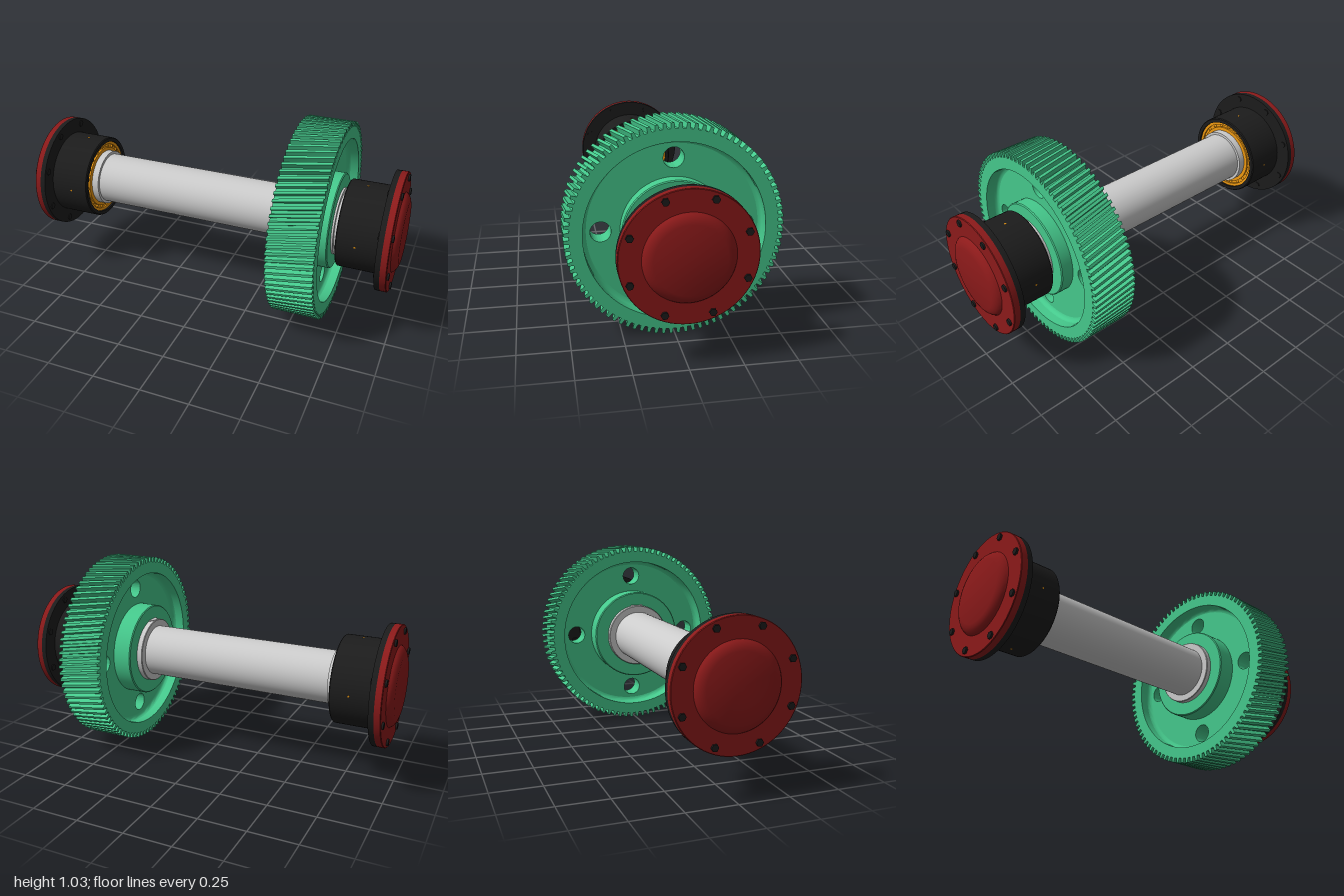
import * as THREE from 'three';
import { toCreasedNormals } from 'three/addons/utils/BufferGeometryUtils.js';

const AXIS_Y = 0.518;
const mat = (color) => new THREE.MeshStandardMaterial({ color });
const GREY = mat(0xcccccc), GREEN = mat(0x45c98c), RED = mat(0x8c1a1a),
  BLACK = mat(0x1c1c1c), ORANGE = mat(0xf09a10);

function add(parent, name, geometry, material) {
  const mesh = new THREE.Mesh(geometry, material);
  mesh.name = name;
  parent.add(mesh);
  return mesh;
}

// Solid of revolution about x; profile is [radius, x] listed towards +x on the outside
function turned(parent, name, profile, material, segments = 72) {
  const g = new THREE.LatheGeometry(profile.map(([r, x]) => new THREE.Vector2(r, x)), segments);
  g.rotateZ(-Math.PI / 2);
  return add(parent, name, toCreasedNormals(g, 0.5), material);
}

// Extrude a shape along +x, from x0 to x1
function extrudeX(shape, x0, x1, steps = 1, curveSegments = 48) {
  const g = new THREE.ExtrudeGeometry(shape, { depth: x1 - x0, steps, curveSegments, bevelEnabled: false });
  g.rotateY(Math.PI / 2);
  g.translate(x0, 0, 0);
  return g;
}

function circleHole(x, y, r) {
  return new THREE.Path().absarc(x, y, r, 0, Math.PI * 2, true);
}

function buildGear() {
  const gear = new THREE.Group();
  gear.name = 'helicalGear';
  const teeth = 88, tip = 0.515, root = 0.489, x0 = 0.43, x1 = 0.665;

  // Toothed rim, twisted into a helix
  const pts = [];
  for (let i = 0; i < teeth; i++) {
    for (const [r, f] of [[root, -0.29], [tip, -0.2], [tip, 0.2], [root, 0.29]]) {
      const a = ((i + f + 0.5) / teeth) * Math.PI * 2;
      pts.push(new THREE.Vector2(r * Math.cos(a), r * Math.sin(a)));
    }
  }
  const rimShape = new THREE.Shape(pts);
  rimShape.holes.push(circleHole(0, 0, 0.428));
  const rim = extrudeX(rimShape, x0, x1, 6);
  const p = rim.attributes.position;
  for (let i = 0; i < p.count; i++) {
    const a = -0.36 * (p.getX(i) - x1), y = p.getY(i), z = p.getZ(i);
    p.setY(i, y * Math.cos(a) - z * Math.sin(a));
    p.setZ(i, y * Math.sin(a) + z * Math.cos(a));
  }
  add(gear, 'toothedRim', toCreasedNormals(rim, 0.5), GREEN);

  // Web with four lightening holes
  const webShape = new THREE.Shape().absarc(0, 0, 0.432, 0, Math.PI * 2, false);
  for (let i = 0; i < 4; i++) {
    const a = (i * Math.PI) / 2;
    webShape.holes.push(circleHole(0.34 * Math.cos(a), 0.34 * Math.sin(a), 0.049));
  }
  add(gear, 'web', toCreasedNormals(extrudeX(webShape, 0.5, 0.6), 0.5), GREEN);

  // Fillets where the rim meets the web
  turned(gear, 'rimFilletRight', [[0.408, 0.6], [0.418, 0.603], [0.425, 0.61], [0.428, 0.62]].reverse()
    .map((q) => q).reverse(), GREEN).material = FILLET;
  turned(gear, 'rimFilletLeft', [[0.428, 0.48], [0.425, 0.49], [0.418, 0.497], [0.408, 0.5]], GREEN).material = FILLET;

  turned(gear, 'hub', [[0, 0.4], [0.245, 0.4], [0.25, 0.405], [0.25, 0.66], [0.245, 0.665], [0, 0.665]], GREEN);
  return gear;
}
const FILLET = new THREE.MeshStandardMaterial({ color: 0x45c98c, side: THREE.DoubleSide });

function buildBearingUnit(name) {
  const unit = new THREE.Group();
  unit.name = name;

  // Housing with an open bore on its inner end and a bolting flange
  turned(unit, 'housing', [[0, 0.78], [0.203, 0.78], [0.203, 0.697], [0.222, 0.697], [0.227, 0.702],
    [0.227, 0.91], [0.308, 0.91], [0.308, 0.937], [0, 0.937]], BLACK);

  // Bearing: two races with rollers between them
  turned(unit, 'outerRace', [[0.187, 0.78], [0.187, 0.708], [0.203, 0.708], [0.203, 0.78]], ORANGE);
  turned(unit, 'innerRace', [[0.14, 0.708], [0.17, 0.708], [0.17, 0.78]], ORANGE);
  turned(unit, 'cage', [[0.165, 0.718], [0.19, 0.718], [0.19, 0.77]], ORANGE);
  for (let i = 0; i < 20; i++) {
    const a = (i / 20) * Math.PI * 2;
    const roller = add(unit, 'roller', new THREE.SphereGeometry(0.009, 12, 8), ORANGE);
    roller.position.set(0.717, 0.1785 * Math.cos(a), 0.1785 * Math.sin(a));
  }

  // End cap with a raised, rounded centre
  turned(unit, 'endCap', [[0, 0.937], [0.308, 0.937], [0.308, 0.967], [0.305, 0.97], [0.206, 0.97],
    [0.2, 0.979], [0.19, 0.988], [0.177, 0.995], [0.16, 1], [0, 1]], RED);

  // Hexagon bolts through the flange
  for (let i = 0; i < 8; i++) {
    const a = ((i + 0.5) * Math.PI) / 4;
    const bolt = add(unit, 'flangeBolt',
      new THREE.CylinderGeometry(0.018, 0.018, 0.075, 6).rotateZ(-Math.PI / 2).toNonIndexed(), BLACK);
    bolt.position.set(0.942, 0.277 * Math.cos(a), 0.277 * Math.sin(a));
  }

  // Lubrication ports round the housing
  for (let i = 0; i < 4; i++) {
    const port = new THREE.Group();
    port.name = 'lubricationPort';
    const plug = add(port, 'portPlug', new THREE.CylinderGeometry(0.005, 0.005, 0.004, 12), ORANGE);
    plug.position.set(0.795, 0.226, 0);
    port.rotation.x = (i * Math.PI) / 2;
    unit.add(port);
  }
  return unit;
}

export function createModel() {
  const model = new THREE.Group();
  model.name = 'gearShaftAssembly';
  const assembly = new THREE.Group();
  assembly.name = 'rotatingAssembly';
  assembly.position.y = AXIS_Y;
  model.add(assembly);

  // Stepped shaft
  turned(assembly, 'shaft', [[0, -0.93], [0.138, -0.93], [0.138, -0.705], [0.152, -0.705], [0.152, -0.667],
    [0.137, -0.667], [0.137, 0.37], [0.172, 0.37], [0.175, 0.373], [0.175, 0.675], [0.152, 0.675],
    [0.152, 0.705], [0.138, 0.705], [0.138, 0.93], [0, 0.93]], GREY);

  // Round-ended key under the hub
  const keyShape = new THREE.Shape();
  keyShape.absarc(0.408, 0, 0.035, Math.PI / 2, Math.PI * 1.5, false);
  keyShape.absarc(0.62, 0, 0.035, -Math.PI / 2, Math.PI / 2, false);
  const keyGeo = new THREE.ExtrudeGeometry(keyShape, { depth: 0.04, bevelEnabled: false, curveSegments: 16 });
  keyGeo.rotateX(-Math.PI / 2);
  add(assembly, 'key', toCreasedNormals(keyGeo, 0.5), GREY).position.y = 0.137;

  assembly.add(buildGear());
  assembly.add(buildBearingUnit('leftBearing'));
  const right = buildBearingUnit('rightBearing');
  right.rotation.y = Math.PI;
  assembly.add(right);
  return model;
}
